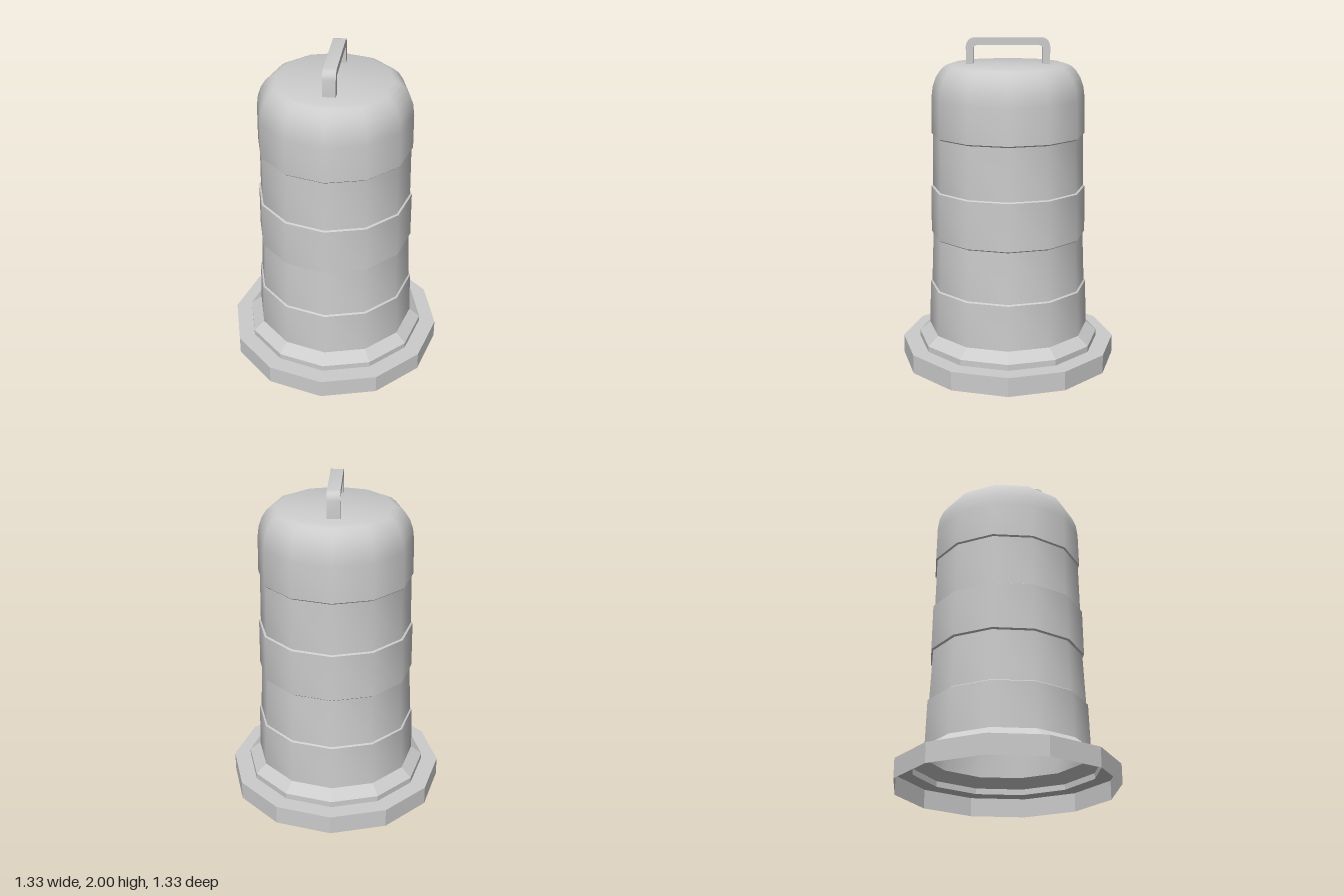
import * as THREE from 'three';
import { toCreasedNormals } from 'three/addons/utils/BufferGeometryUtils.js';

const SIDES = 12;

// Open revolved sheet from [radius, height] pairs, bottom to top
function lathe(name, profile, material, crease) {
  const points = profile.map(([r, y]) => new THREE.Vector2(r, y));
  const geometry = toCreasedNormals(new THREE.LatheGeometry(points, SIDES), crease);
  const mesh = new THREE.Mesh(geometry, material);
  mesh.name = name;
  return mesh;
}

// Arch outline, optionally reversed for use as the inner edge
function archPoints(halfWidth, bottom, top, radius) {
  const points = [[-halfWidth, bottom]];
  for (const side of [-1, 1]) {
    for (let i = 0; i <= 4; i++) {
      const t = (i / 4) * Math.PI / 2;
      const a = side < 0 ? Math.PI - t : Math.PI / 2 - t;
      points.push([side * (halfWidth - radius) + radius * Math.cos(a), top - radius + radius * Math.sin(a)]);
    }
  }
  points.push([halfWidth, bottom]);
  return points.map(([x, y]) => new THREE.Vector2(x, y));
}

export function createModel() {
  const model = new THREE.Group();
  model.name = 'trafficDrum';
  const material = new THREE.MeshStandardMaterial({ color: 0xcccccc, side: THREE.DoubleSide });

  // Faceted weighted base ring and flared foot, hollow underneath
  model.add(lathe('base', [[0.665, 0], [0.665, 0.117], [0.562, 0.117]], material, 0.3));
  model.add(lathe('foot', [[0.562, 0.117], [0.562, 0.153], [0.495, 0.208]], material, 0.3));

  // Tapered body with stepped bands and a rounded top
  model.add(lathe('body', [
    [0.495, 0.208], [0.487, 0.485],
    [0.477, 0.492], [0.464, 0.803],
    [0.475, 0.811], [0.472, 1.097],
    [0.461, 1.103], [0.456, 1.418],
    [0.465, 1.426], [0.462, 1.64],
    [0.453, 1.71], [0.433, 1.765], [0.405, 1.808], [0.375, 1.835], [0.345, 1.847],
    [0, 1.847],
  ], material, 0.6));

  // Carrying handle across the top, running front to back
  const outline = archPoints(0.25, 1.84, 2.0, 0.05);
  const inner = archPoints(0.205, 1.84, 1.957, 0.02).reverse();
  const handleGeometry = new THREE.ExtrudeGeometry(new THREE.Shape([...outline, ...inner]), {
    depth: 0.076, bevelEnabled: false,
  });
  handleGeometry.translate(0, 0, -0.038).rotateY(-Math.PI / 2);
  const handle = new THREE.Mesh(toCreasedNormals(handleGeometry, 0.6), material);
  handle.name = 'handle';
  model.add(handle);

  return model;
}
